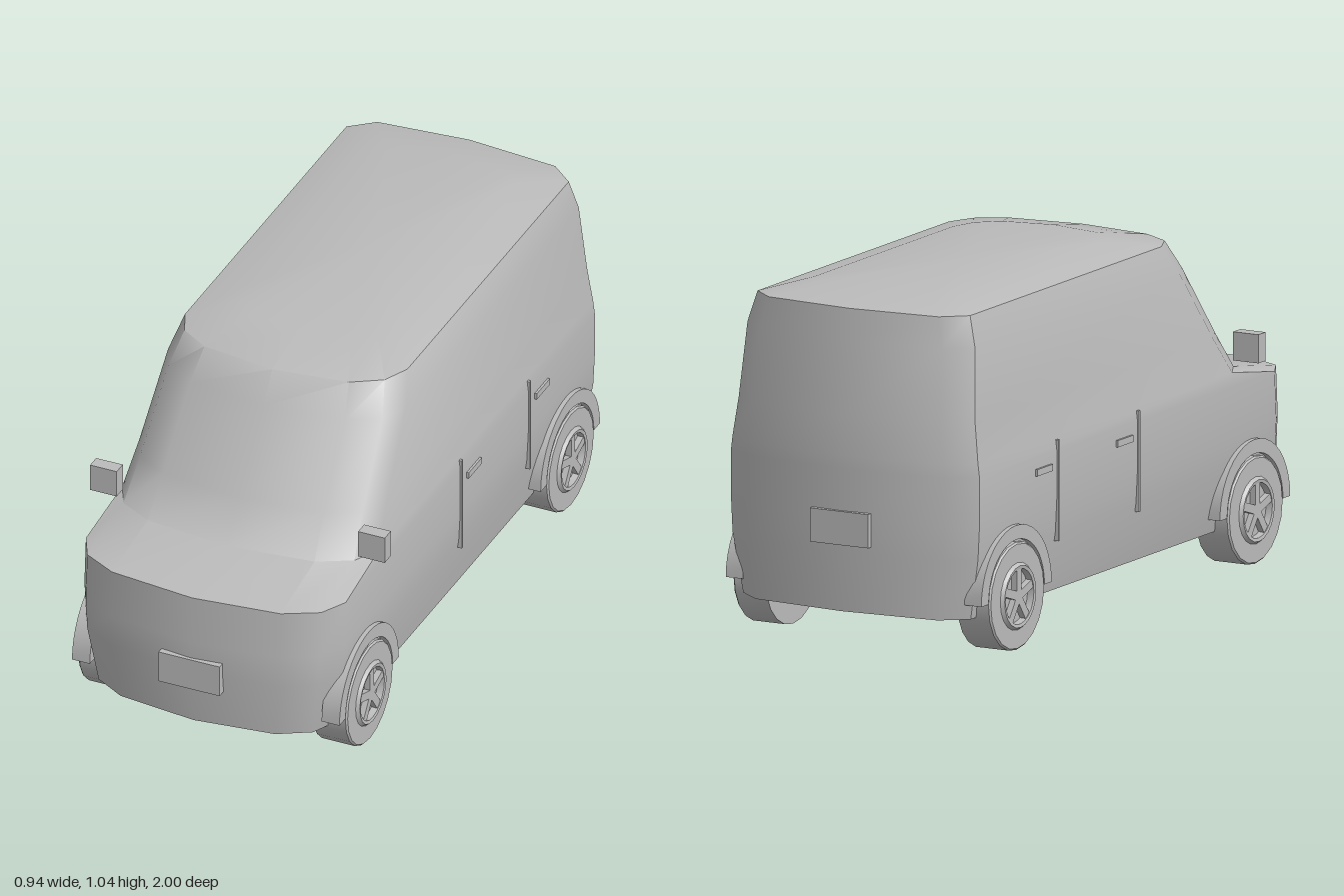
import * as THREE from 'three';
import { toCreasedNormals } from 'three/addons/utils/BufferGeometryUtils.js';

const grey = new THREE.MeshStandardMaterial({ color: 0xbbbbbb });
grey.name = 'plain grey';

function add(parent, name, geometry, x = 0, y = 0, z = 0) {
  const mesh = new THREE.Mesh(geometry, grey);
  mesh.name = name;
  mesh.position.set(x, y, z);
  parent.add(mesh);
  return mesh;
}

// Plan outline at one height: rounded nose, straight sides, tighter rear corners
function ring([y, w, front, back]) {
  const half = [
    [0.65 * w, front - 0.03], [0.9 * w, front - 0.085], [w, front - 0.165],
    [w, back + 0.085], [0.8 * w, back + 0.025],
  ];
  const plan = [[0, front], ...half, [0, back], ...half.slice().reverse().map(([x, z]) => [-x, z])];
  return plan.map(([x, z]) => [x, y, z]);
}

function bodyGeometry() {
  // height, half width, front z, back z
  const rings = [
    [0.12, 0.38, 0.97, -0.98],
    [0.30, 0.41, 0.99, -0.99],
    [0.40, 0.415, 0.99, -0.99],
    [0.545, 0.415, 0.98, -0.99],
    [0.585, 0.41, 0.74, -0.99],
    [0.70, 0.395, 0.655, -0.98],
    [0.92, 0.38, 0.488, -0.955],
    [1.01, 0.355, 0.425, -0.94],
    [1.04, 0.24, 0.25, -0.81],
  ].map(ring);
  const pos = [];
  const n = rings[0].length;
  for (let i = 0; i < n; i++) {
    const j = (i + 1) % n;
    for (let k = 0; k < rings.length - 1; k++) {
      const a = rings[k], b = rings[k + 1];
      pos.push(...a[i], ...a[j], ...b[j], ...a[i], ...b[j], ...b[i]);
    }
    // floor and roof fans
    const low = rings[0], top = rings[rings.length - 1];
    pos.push(0, 0.12, 0, ...low[j], ...low[i]);
    pos.push(0, 1.04, -0.28, ...top[i], ...top[j]);
  }
  const g = new THREE.BufferGeometry();
  g.setAttribute('position', new THREE.Float32BufferAttribute(pos, 3));
  return toCreasedNormals(g, 0.8);
}

// Wheel with recessed rim, five spokes and an arch trim, facing +x
function wheelUnit(name) {
  const unit = new THREE.Group();
  unit.name = name;
  const profile = [
    [0, 0.32], [0.16, 0.32], [0.16, 0.425], [0.155, 0.43], [0.1, 0.43],
    [0.092, 0.44], [0.082, 0.438], [0.08, 0.418], [0, 0.418],
  ].map(([r, x]) => new THREE.Vector2(r, x));
  const tyre = new THREE.LatheGeometry(profile, 20);
  tyre.rotateZ(-Math.PI / 2);
  add(unit, 'tyre', toCreasedNormals(tyre, 0.5), 0, 0.16, 0);

  for (let i = 0; i < 5; i++) {
    const spoke = new THREE.BoxGeometry(0.022, 0.088, 0.026);
    spoke.translate(0, 0.044, 0);
    spoke.rotateX(i * Math.PI * 2 / 5);
    add(unit, 'spoke', spoke, 0.425, 0.16, 0);
  }

  const arch = new THREE.Shape();
  arch.absarc(0, 0, 0.205, 0, Math.PI, false);
  arch.absarc(0, 0, 0.163, Math.PI, 0, true);
  const trim = new THREE.ExtrudeGeometry(arch, { depth: 0.057, bevelEnabled: false, curveSegments: 10 });
  trim.rotateY(Math.PI / 2);
  add(unit, 'wheelArchTrim', toCreasedNormals(trim, 0.5), 0.37, 0.165, 0);
  return unit;
}

export function createModel() {
  const van = new THREE.Group();
  van.name = 'van';
  add(van, 'body', bodyGeometry());

  for (const side of [1, -1]) {
    const label = side > 0 ? 'left' : 'right';
    for (const [end, z] of [['Front', 0.68], ['Rear', -0.71]]) {
      const unit = wheelUnit(label + end + 'Wheel');
      unit.position.z = z;
      if (side < 0) unit.rotation.y = Math.PI;
      van.add(unit);
    }
    add(van, label + 'Mirror', new THREE.BoxGeometry(0.085, 0.085, 0.042), side * 0.428, 0.652, 0.645);

    // Door seams with a handle behind each
    for (const z of [0.02, -0.45]) {
      add(van, label + 'DoorSeam', new THREE.BoxGeometry(0.02, 0.3, 0.009), side * 0.41, 0.425, z);
      add(van, label + 'DoorHandle', new THREE.BoxGeometry(0.02, 0.02, 0.09), side * 0.412, 0.5, z - 0.085);
    }
  }

  // Blank plates on nose and tail
  const plate = new THREE.BoxGeometry(0.195, 0.1, 0.03);
  add(van, 'frontPlate', plate, 0, 0.295, 0.985);
  add(van, 'rearPlate', plate, 0, 0.37, -0.985);
  return van;
}
